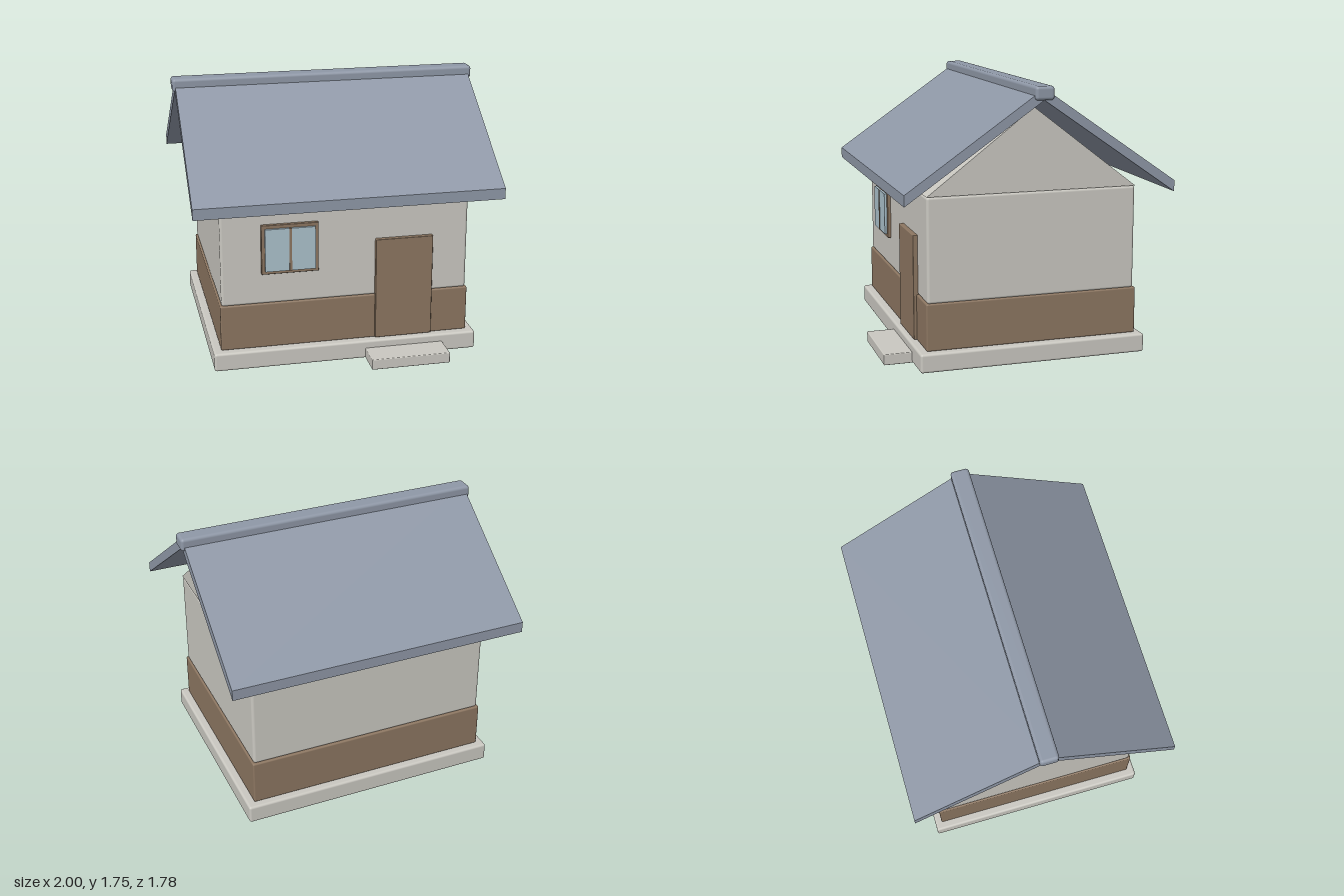
import * as THREE from 'three';
import { RoundedBoxGeometry } from 'three/addons/geometries/RoundedBoxGeometry.js';

const mat = (name, color) => {
  const m = new THREE.MeshStandardMaterial({ color });
  m.name = name;
  return m;
};

export function createModel() {
  const house = new THREE.Group();
  house.name = 'house';
  const plaster = mat('plaster', 0xcac8c1);
  const wood = mat('brown wood', 0x8c7661);
  const slate = mat('slate', 0x8f98a7);
  const glass = mat('glass', 0xabc1cc);
  const midZ = -0.03;

  const add = (name, geometry, material) => {
    const mesh = new THREE.Mesh(geometry, material);
    mesh.name = name;
    house.add(mesh);
    return mesh;
  };

  // Box given by its limits on each axis, with an optional edge radius
  const box = (name, material, [x0, x1], [y0, y1], [z0, z1], r = 0) => {
    const size = [x1 - x0, y1 - y0, z1 - z0];
    const g = r ? new RoundedBoxGeometry(...size, 3, r) : new THREE.BoxGeometry(...size);
    g.translate((x0 + x1) / 2, (y0 + y1) / 2, (z0 + z1) / 2);
    return add(name, g, material);
  };

  // Prism along x from a (z, y) outline
  const prism = (name, material, outline, halfWidth) => {
    const shape = new THREE.Shape(outline.map(([z, y]) => new THREE.Vector2(-z, y)));
    const g = new THREE.ExtrudeGeometry(shape, { depth: halfWidth * 2, bevelEnabled: false });
    g.translate(0, 0, -halfWidth).rotateY(Math.PI / 2);
    return add(name, g, material);
  };

  // Foundation, lower cladding and walls
  box('foundation', plaster, [-0.86, 0.86], [0, 0.12], [-0.765, 0.71], 0.015);
  box('doorstep', plaster, [0.12, 0.635], [0, 0.07], [0.6, 0.89], 0.006);
  box('lowerCladding', wood, [-0.81, 0.81], [0.12, 0.42], [-0.72, 0.66], 0.01);
  box('walls', plaster, [-0.8, 0.8], [0.415, 1.08], [-0.707, 0.65], 0.018);
  prism('gable', plaster, [[0.65, 1.08], [midZ, 1.6], [-0.707, 1.08]], 0.8);

  // Roof slopes with upright eave ends, and the ridge cap
  for (const [name, side] of [['frontRoof', 1], ['backRoof', -1]]) {
    const eave = midZ + side * 0.86;
    prism(name, slate, [[midZ, 1.66], [eave, 1.065], [eave, 1.135], [midZ, 1.73]], 0.98);
  }
  box('ridgeCap', slate, [-1, 1], [1.66, 1.745], [midZ - 0.06, midZ + 0.06], 0.02);

  // Door
  box('door', wood, [0.19, 0.565], [0.125, 0.8], [0.62, 0.68], 0.005);

  // Window
  box('windowFrame', wood, [-0.545, -0.18], [0.62, 0.945], [0.63, 0.672], 0.005);
  for (const [x0, x1] of [[-0.523, -0.37], [-0.354, -0.203]]) {
    box('windowPane', glass, [x0, x1], [0.643, 0.922], [0.67, 0.688]);
  }
  box('windowMullion', wood, [-0.37, -0.354], [0.643, 0.922], [0.67, 0.692]);

  return house;
}
